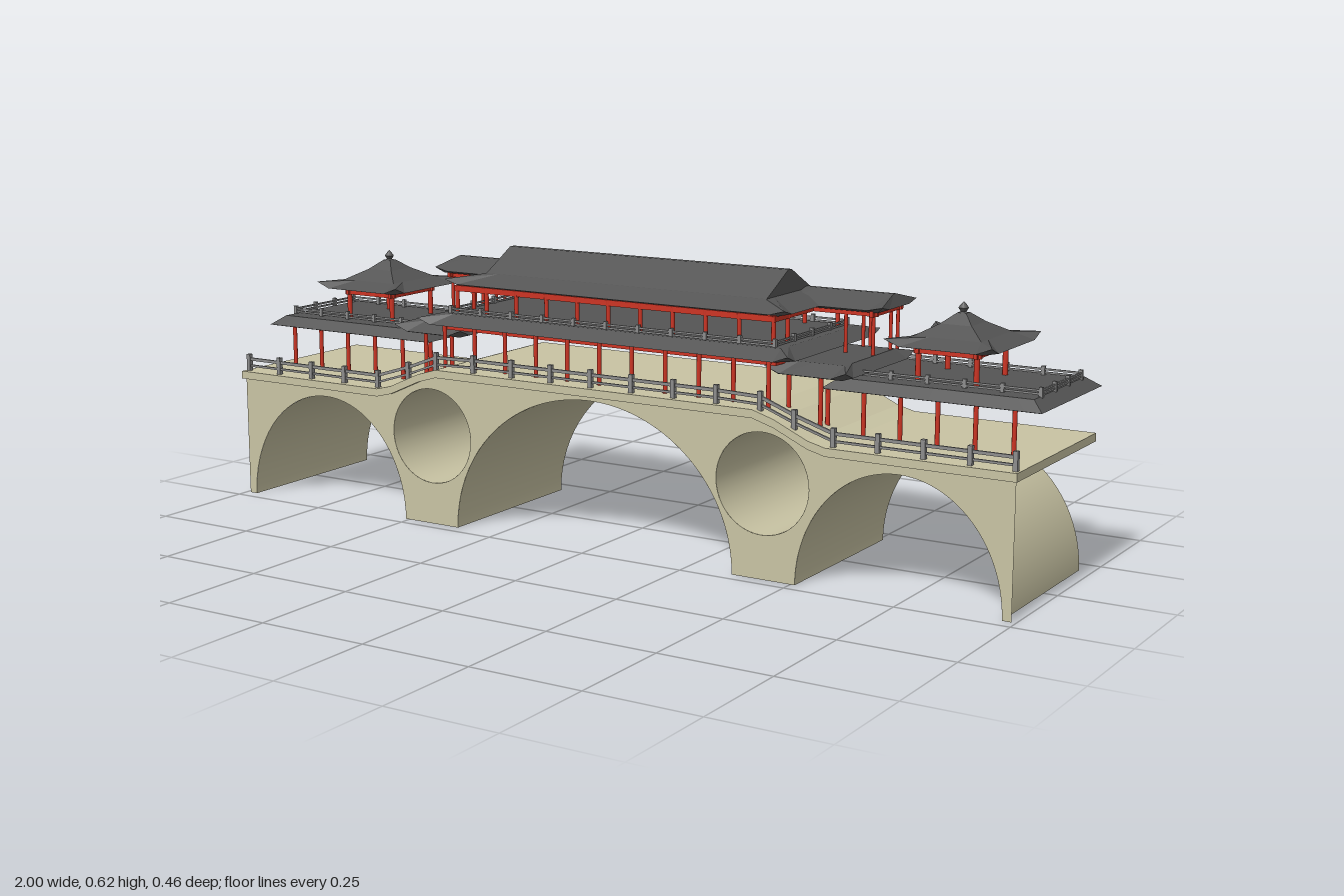
import * as THREE from 'three';
import { toCreasedNormals } from 'three/addons/utils/BufferGeometryUtils.js';

const mat = (name, color, side = THREE.FrontSide) => new THREE.MeshStandardMaterial({ name, color, side });

export function createModel() {
  const root = new THREE.Group();
  root.name = 'coveredBridge';
  const stone = mat('stone', 0xc8c3a3, THREE.DoubleSide);
  const tile = mat('roofTile', 0x555555);
  const red = mat('redTimber', 0xcc3322);
  const grey = mat('railGrey', 0x8c8c8c);

  const add = (name, geo, material, x = 0, y = 0, z = 0) => {
    const m = new THREE.Mesh(geo, material);
    m.name = name;
    m.position.set(x, y, z);
    root.add(m);
    return m;
  };
  const box = (name, material, x0, x1, y0, y1, z0, z1) =>
    add(name, new THREE.BoxGeometry(Math.abs(x1 - x0), y1 - y0, z1 - z0), material,
      (x0 + x1) / 2, (y0 + y1) / 2, (z0 + z1) / 2);
  const column = (x, y0, y1, z, r = 0.005) =>
    add('column', new THREE.CylinderGeometry(r, r, y1 - y0, 10), red, x, (y0 + y1) / 2, z);

  // Roof from stacked rectangles [halfX, halfZ, y]; ring 1 is the eave, whose corners turn up
  const roof = (name, x, z, rings, lift = 0) => {
    const pos = [], idx = [], n = 16;
    rings.forEach(([hx, hz, y], r) => {
      const c = [[hx, hz], [hx, -hz], [-hx, -hz], [-hx, hz]];
      for (let s = 0; s < 4; s++) {
        const [ax, az] = c[s], [bx, bz] = c[(s + 1) % 4];
        const len = Math.hypot(bx - ax, bz - az), d = Math.min(0.035, len * 0.25);
        [0, d / len, 0.5, 1 - d / len].forEach((t, k) => {
          const up = r === 1 && k === 0 ? lift : 0;
          pos.push(ax + (bx - ax) * t, y + up, az + (bz - az) * t);
        });
      }
    });
    const last = (rings.length - 1) * n;
    for (let r = 0; r < last; r += n)
      for (let j = 0; j < n; j++) {
        const k = (j + 1) % n;
        idx.push(r + j, r + k, r + n + k, r + j, r + n + k, r + n + j);
      }
    for (let j = 1; j < n - 1; j++) idx.push(last, last + j, last + j + 1, 0, j + 1, j);
    let g = new THREE.BufferGeometry();
    g.setAttribute('position', new THREE.Float32BufferAttribute(pos, 3));
    g.setIndex(idx);
    g = g.toNonIndexed();
    g.computeVertexNormals();
    return add(name, g, tile, x, 0, z);
  };

  // Deck height along the bridge
  const ends = [[-0.995, 0.302], [-0.58, 0.302], [-0.54, 0.312], [-0.46, 0.348], [-0.41, 0.363]];
  const line = [...ends, ...ends.map(([x, y]) => [-x, y]).reverse()];
  const deckY = (x) => {
    const i = Math.max(1, line.findIndex((p) => p[0] >= x));
    const [a, b] = [line[i - 1], line[i]];
    return a[1] + (b[1] - a[1]) * (x - a[0]) / (b[0] - a[0]);
  };
  const slab = new THREE.Shape([...line.map(([x, y]) => new THREE.Vector2(x, y - 0.018)),
    ...[...line].reverse().map(([x, y]) => new THREE.Vector2(x, y))]);
  add('deck', new THREE.ExtrudeGeometry(slab, { depth: 0.43, bevelEnabled: false }), stone, 0, 0, -0.2);

  // Front wall with three arches and two round openings
  const arches = [[-0.74, 0.23, 0.265], [0, 0.36, 0.335], [0.74, 0.23, 0.265]];
  const wall = new THREE.Shape();
  wall.moveTo(-0.99, 0);
  for (const [cx, a, b] of arches) {
    wall.lineTo(cx - a, 0);
    wall.absellipse(cx, 0, a, b, Math.PI, 0, true, 0);
  }
  wall.lineTo(0.99, 0);
  [...line].reverse().forEach(([x, y]) => wall.lineTo(Math.sign(x) * Math.min(0.99, Math.abs(x)), y - 0.01));
  for (const s of [-1, 1]) wall.holes.push(new THREE.Path().absarc(s * 0.43, 0.206, 0.11, 0, Math.PI * 2, true));
  add('frontWall', new THREE.ShapeGeometry(wall, 32), stone, 0, 0, 0.22);

  // Open barrels behind the arches and round openings
  for (const [cx, a, b] of arches) {
    const g = new THREE.CylinderGeometry(1, 1, 0.42, 40, 1, true, Math.PI / 2, Math.PI);
    add('archBarrel', g.rotateX(Math.PI / 2).scale(a, b, 1), stone, cx, 0, 0.01);
  }
  for (const s of [-1, 1]) {
    const g = new THREE.CylinderGeometry(0.11, 0.11, 0.423, 40, 1, true);
    add('roundTunnel', g.rotateX(Math.PI / 2), stone, s * 0.43, 0.206, 0.0085);
  }

  // Balustrade along the front edge
  const posts = [-0.985, -0.89, -0.79, -0.69, -0.59, -0.5, -0.42, -0.315, -0.21, -0.105, 0];
  const allPosts = [...posts, ...posts.slice(0, -1).map((x) => -x).reverse()];
  allPosts.forEach((x, i) => {
    const y = deckY(x);
    box('railPost', grey, x - 0.005, x + 0.005, y - 0.005, y + 0.04, 0.207, 0.217);
    if (!i) return;
    const x0 = allPosts[i - 1], y0 = deckY(x0);
    for (const [h, t] of [[0.028, 0.007], [0.012, 0.005]]) {
      const bar = add('railBar', new THREE.BoxGeometry(Math.hypot(x - x0, y - y0), t, 0.005), grey,
        (x + x0) / 2, (y + y0) / 2 + h, 0.212);
      bar.rotation.z = Math.atan2(y - y0, x - x0);
    }
  });

  // Rectangular terrace railing
  const terraceRail = (x0, x1, z0, z1, y, nx, nz) => {
    for (const h of [0.006, 0.013]) {
      for (const z of [z0, z1]) box('terraceRail', grey, x0, x1, y + h - 0.002, y + h + 0.002, z - 0.002, z + 0.002);
      for (const x of [x0, x1]) box('terraceRail', grey, x - 0.002, x + 0.002, y + h - 0.002, y + h + 0.002, z0, z1);
    }
    const post = (x, z) => box('terracePost', grey, x - 0.004, x + 0.004, y - 0.003, y + 0.02, z - 0.004, z + 0.004);
    for (let i = 0; i <= nx; i++) for (const z of [z0, z1]) post(x0 + (x1 - x0) * i / nx, z);
    for (let i = 1; i < nz; i++) for (const x of [x0, x1]) post(x, z0 + (z1 - z0) * i / nz);
  };

  // Central hall: ground gallery, terrace, upper storey
  for (let i = -5; i <= 5; i++) column(i * 0.084, 0.352, 0.457, 0.177);
  box('galleryCeiling', red, -0.43, 0.43, 0.446, 0.456, -0.19, 0.165);
  roof('hallLowerRoof', 0, -0.0125, [[0.43, 0.18, 0.454], [0.478, 0.217, 0.461], [0.44, 0.175, 0.483]], 0.013);
  terraceRail(-0.42, 0.42, -0.18, 0.152, 0.48, 10, 4);
  for (let i = -5; i <= 5; i++) for (const z of [0.14, -0.155]) column(i * 0.082, 0.478, 0.545, z);
  for (const s of [-1, 1]) column(s * 0.41, 0.478, 0.545, 0.078);
  for (const z of [0.14, -0.155]) box('hallBeam', red, -0.415, 0.415, 0.533, 0.546, z - 0.004, z + 0.004);
  for (const x of [-0.41, 0.41]) box('hallBeam', red, x - 0.004, x + 0.004, 0.533, 0.546, -0.155, 0.14);
  roof('hallUpperRoof', 0, -0.013, [[0.41, 0.145, 0.543], [0.44, 0.163, 0.549], [0.365, 0.105, 0.571]], 0.01);
  const gable = new THREE.Shape([[-0.115, 0.564], [0.115, 0.564], [0.055, 0.596], [0.008, 0.622], [-0.008, 0.622], [-0.055, 0.596]]
    .map(([a, b]) => new THREE.Vector2(a, b)));
  const gableGeo = new THREE.ExtrudeGeometry(gable, { depth: 0.73, bevelEnabled: false }).rotateY(Math.PI / 2);
  add('hallGableRoof', gableGeo, tile, -0.365, 0, -0.013);

  for (const s of [-1, 1]) {
    // Side wings of the hall
    roof('wingLowerRoof', s * 0.49, -0.0125, [[0.075, 0.14, 0.422], [0.095, 0.165, 0.428], [0.07, 0.12, 0.45]], 0.014);
    for (const x of [0.44, 0.515]) column(s * x, deckY(x) - 0.01, 0.43, 0.125);
    for (const x of [0.49, 0.555]) for (const z of [-0.035, -0.12, -0.155]) column(s * x, 0.44, 0.54, z, 0.004);
    for (const z of [-0.035, -0.155]) box('wingBeam', red, s * 0.36, s * 0.565, 0.533, 0.547, z - 0.004, z + 0.004);
    box('wingBeam', red, s * 0.552, s * 0.56, 0.533, 0.547, -0.17, -0.02);
    roof('wingUpperRoof', s * 0.47, -0.093, [[0.1, 0.07, 0.543], [0.117, 0.085, 0.549], [0.105, 0.006, 0.576]], 0.008);

    // End galleries with terrace
    for (let i = 0; i < 6; i++) column(s * (0.935 - i * 0.083), 0.285, 0.402, 0.102);
    roof('galleryRoof', s * 0.755, -0.0475, [[0.235, 0.16, 0.398], [0.243, 0.167, 0.4], [0.215, 0.14, 0.421]]);
    terraceRail(s * 0.765 - 0.205, s * 0.765 + 0.205, -0.163, 0.056, 0.42, 5, 3);

    // Pavilion with pyramid roof and finial
    const px = s * 0.755, pz = -0.045;
    for (const a of [-0.065, 0.065]) {
      for (const b of [-0.075, 0.075]) column(px + a, 0.418, 0.495, pz + b, 0.006);
      box('pavilionBeam', red, px + a - 0.004, px + a + 0.004, 0.478, 0.496, pz - 0.085, pz + 0.085);
      box('pavilionBeam', red, px - 0.075, px + 0.075, 0.478, 0.496, pz + a * 1.15 - 0.004, pz + a * 1.15 + 0.004);
    }
    roof('pavilionRoof', px, pz, [[0.09, 0.1, 0.491], [0.12, 0.13, 0.497], [0.075, 0.08, 0.514],
      [0.035, 0.038, 0.537], [0.01, 0.01, 0.558]], 0.014);
    const profile = [[0, 0.54], [0.016, 0.543], [0.014, 0.555], [0.006, 0.56], [0.011, 0.568], [0.006, 0.575], [0, 0.581]]
      .map(([a, b]) => new THREE.Vector2(a, b));
    add('finial', toCreasedNormals(new THREE.LatheGeometry(profile, 12), 0.6), tile, px, 0, pz);
  }
  return root;
}
